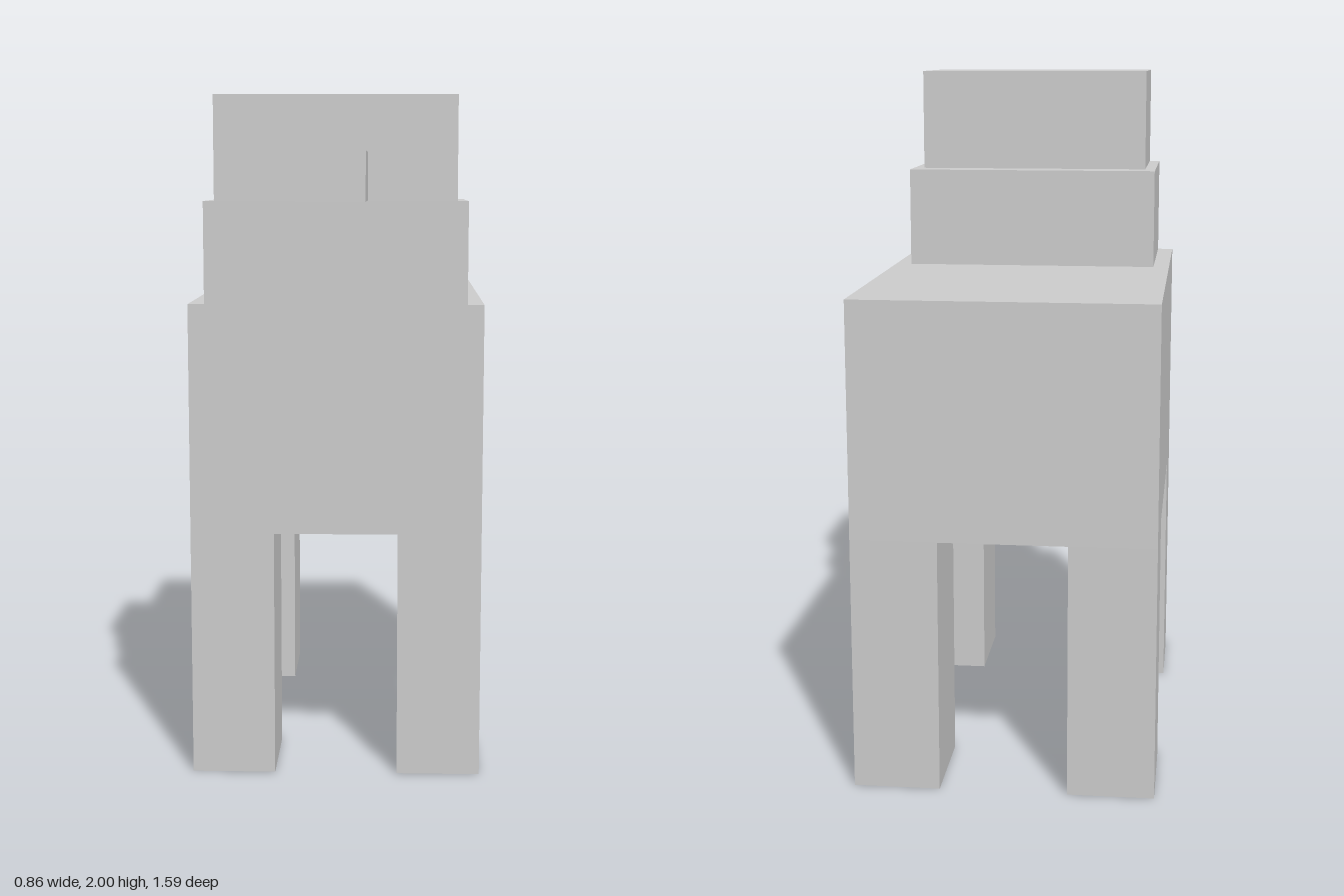
import * as THREE from 'three';

const material = new THREE.MeshStandardMaterial({ color: 0xcccccc, flatShading: true });

// Box given by its lower and upper limits on each axis
function block(name, [x0, x1], [y0, y1], [z0, z1]) {
  const mesh = new THREE.Mesh(new THREE.BoxGeometry(x1 - x0, y1 - y0, z1 - z0), material);
  mesh.position.set((x0 + x1) / 2, (y0 + y1) / 2, (z0 + z1) / 2);
  mesh.name = name;
  return mesh;
}

export function createModel() {
  const model = new THREE.Group();
  model.name = 'blockAnimal';
  const chestZ = 0.46, rumpZ = -0.795, bodyX = 0.428, bellyY = 0.73;

  // Body, neck, head and snout share a flush front plane
  model.add(
    block('body', [-bodyX, bodyX], [bellyY, 1.405], [rumpZ, chestZ]),
    block('neck', [-0.38, 0.38], [1.405, 1.7], [-0.025, chestZ]),
    block('head', [-0.348, 0.348], [1.7, 2], [0.055, chestZ]),
    block('snout', [-0.095, 0.093], [1.703, 1.838], [chestZ, 0.795])
  );

  // Four legs, flush with the body corners
  const legX = { Left: [0.182, bodyX], Right: [-bodyX, -0.182] };
  const legZ = { front: [0.167, chestZ], back: [rumpZ, -0.5] };
  for (const [end, z] of Object.entries(legZ)) {
    for (const [side, x] of Object.entries(legX)) {
      model.add(block(`${end}${side}Leg`, x, [0, bellyY], z));
    }
  }
  return model;
}
